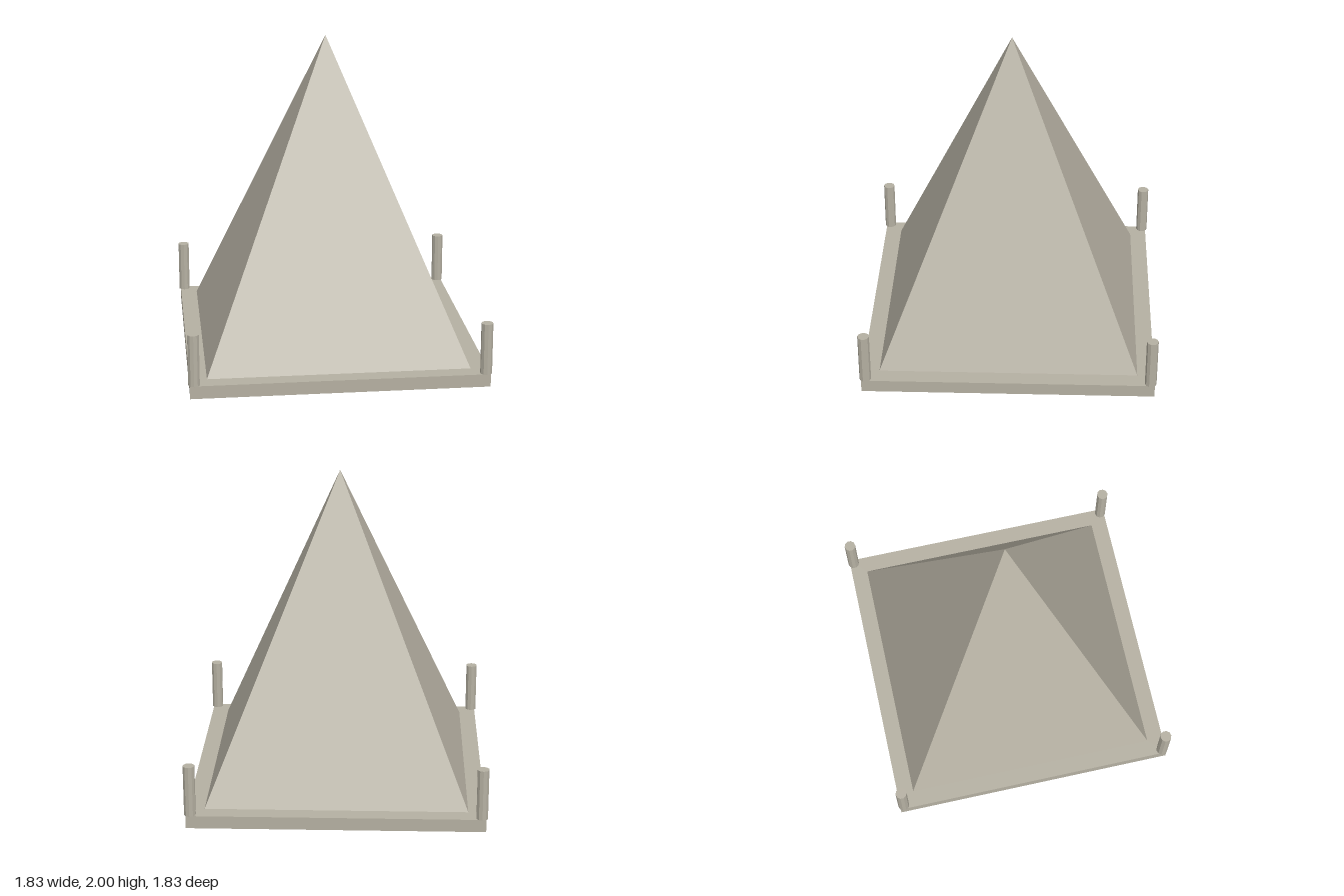
import * as THREE from 'three';

const DECK = 0.08;

export function createModel() {
  const model = new THREE.Group();
  const stone = new THREE.MeshStandardMaterial({ color: 0xb5b0a2, flatShading: true });
  const thinStone = stone.clone();
  thinStone.side = THREE.DoubleSide;

  const add = (name, geometry, material, x, y, z) => {
    const mesh = new THREE.Mesh(geometry, material);
    mesh.name = name;
    mesh.position.set(x, y, z);
    model.add(mesh);
  };

  // Shallow plinth: a thin shell, open underneath (bottom face left out)
  const plinth = new THREE.BoxGeometry(1.81, DECK, 1.81);
  const index = Array.from(plinth.index.array);
  index.splice(18, 6);
  plinth.setIndex(index);
  plinth.clearGroups();
  add('plinth', plinth, thinStone, 0, DECK / 2, 0);

  // Four-sided pyramid standing on the plinth
  const height = 2 - DECK;
  const pyramid = new THREE.ConeGeometry(0.8 * Math.SQRT2, height, 4, 1, true);
  pyramid.rotateY(Math.PI / 4);
  add('pyramid', pyramid, stone, 0, DECK + height / 2, 0);

  // Corner posts
  const postHeight = 0.32;
  const post = new THREE.CylinderGeometry(0.036, 0.036, postHeight, 10);
  for (const [zName, z] of [['front', 0.88], ['back', -0.88]]) {
    for (const [xName, x] of [['Left', 0.88], ['Right', -0.88]]) {
      add(`${zName}${xName}Post`, post, stone, x, DECK + postHeight / 2, z);
    }
  }

  return model;
}
